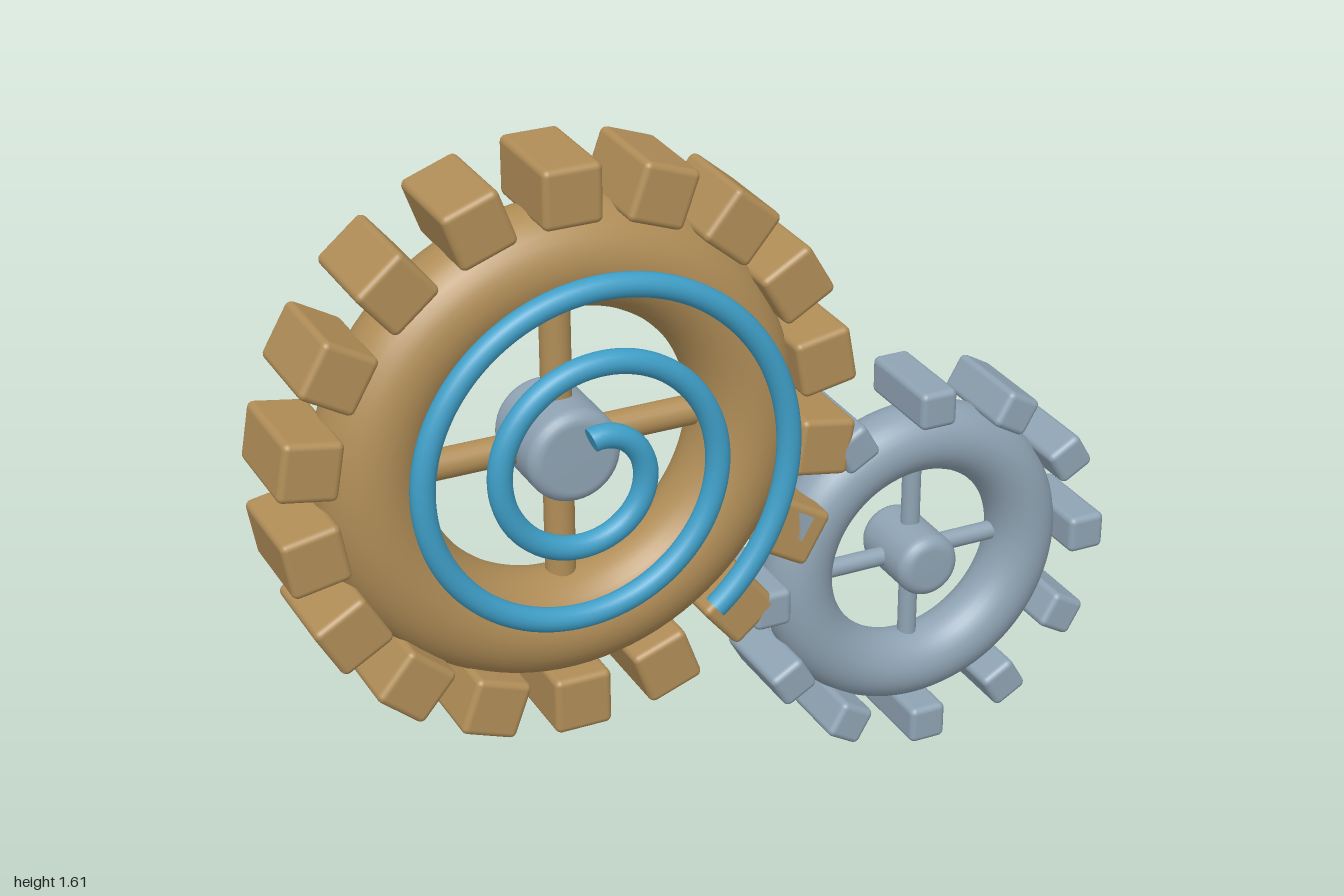
import * as THREE from 'three';
import { RoundedBoxGeometry } from 'three/addons/geometries/RoundedBoxGeometry.js';

const material = (name, color) => {
  const m = new THREE.MeshStandardMaterial({ color });
  m.name = name;
  return m;
};

function add(parent, name, geometry, mat) {
  const mesh = new THREE.Mesh(geometry, mat);
  mesh.name = name;
  parent.add(mesh);
  return mesh;
}

// Solid disc along z with rounded rims
function hubGeometry(radius, length, bevel) {
  const h = length / 2;
  const points = [new THREE.Vector2(0, -h)];
  for (const side of [-1, 1]) {
    for (let i = 0; i <= 5; i++) {
      const a = (side < 0 ? i - 5 : i) / 5 * Math.PI / 2;
      points.push(new THREE.Vector2(
        radius - bevel + bevel * Math.cos(a),
        side * (h - bevel) + bevel * Math.sin(a)));
    }
  }
  points.push(new THREE.Vector2(0, h));
  return new THREE.LatheGeometry(points, 40).rotateX(Math.PI / 2);
}

// Ring-rimmed wheel with crossed spokes, a hub and block teeth
function makeGear(name, o) {
  const gear = new THREE.Group();
  gear.name = name;
  add(gear, 'rim', new THREE.TorusGeometry(o.ring, o.tube, 32, 96), o.mat);
  for (let i = 0; i < 2; i++) {
    const spoke = add(gear, 'spoke',
      new THREE.CylinderGeometry(o.spoke, o.spoke, o.ring * 2, 20), o.mat);
    spoke.rotation.z = i * Math.PI / 2;
  }
  add(gear, 'hub', hubGeometry(o.hub, o.hubLength, 0.03), o.hubMat);
  const toothGeometry = new RoundedBoxGeometry(o.tooth, o.tooth, 0.238, 3, 0.015);
  for (let i = 0; i < o.teeth; i++) {
    const a = i / o.teeth * Math.PI * 2;
    const tooth = add(gear, 'tooth', toothGeometry, o.mat);
    tooth.position.set(Math.sin(a) * o.toothRadius, Math.cos(a) * o.toothRadius, 0);
    tooth.rotation.z = -a;
  }
  gear.position.set(o.x, o.y, -0.041);
  return gear;
}

// Flat spiral winding clockwise outward from the top
class SpiralCurve extends THREE.Curve {
  getPoint(t, target = new THREE.Vector3()) {
    const quarters = t * 9.6;
    const a = quarters * Math.PI / 2;
    const r = 0.078 + 0.0427 * quarters;
    return target.set(Math.sin(a) * r, Math.cos(a) * r, 0);
  }
}

export function createModel() {
  const bronze = material('bronze', 0xb08d57);
  const steel = material('steel', 0x8fa3b3);
  const blue = material('spring blue', 0x3f9fc8);
  const model = new THREE.Group();
  model.name = 'clockwork';

  model.add(makeGear('largeGear', {
    x: -0.332, y: 0.94, ring: 0.433, tube: 0.118, spoke: 0.034,
    hub: 0.108, hubLength: 0.22, teeth: 18, tooth: 0.134, toothRadius: 0.598,
    mat: bronze, hubMat: steel,
  }));
  model.add(makeGear('smallGear', {
    x: 0.544, y: 0.455, ring: 0.294, tube: 0.081, spoke: 0.022,
    hub: 0.076, hubLength: 0.21, teeth: 12, tooth: 0.09, toothRadius: 0.41,
    mat: steel, hubMat: steel,
  }));

  // Spiral spring in front of the large gear, with closed ends
  const spring = new THREE.Group();
  spring.name = 'spring';
  spring.position.set(-0.332, 0.94, 0.14);
  const curve = new SpiralCurve();
  const wire = 0.027;
  add(spring, 'coil', new THREE.TubeGeometry(curve, 240, wire, 16), blue);
  for (const t of [0, 1]) {
    const cap = add(spring, 'coilEnd', new THREE.CircleGeometry(wire, 16), blue);
    const outward = curve.getTangent(t).multiplyScalar(t ? 1 : -1);
    cap.position.copy(curve.getPoint(t));
    cap.quaternion.setFromUnitVectors(new THREE.Vector3(0, 0, 1), outward);
  }
  model.add(spring);
  return model;
}
